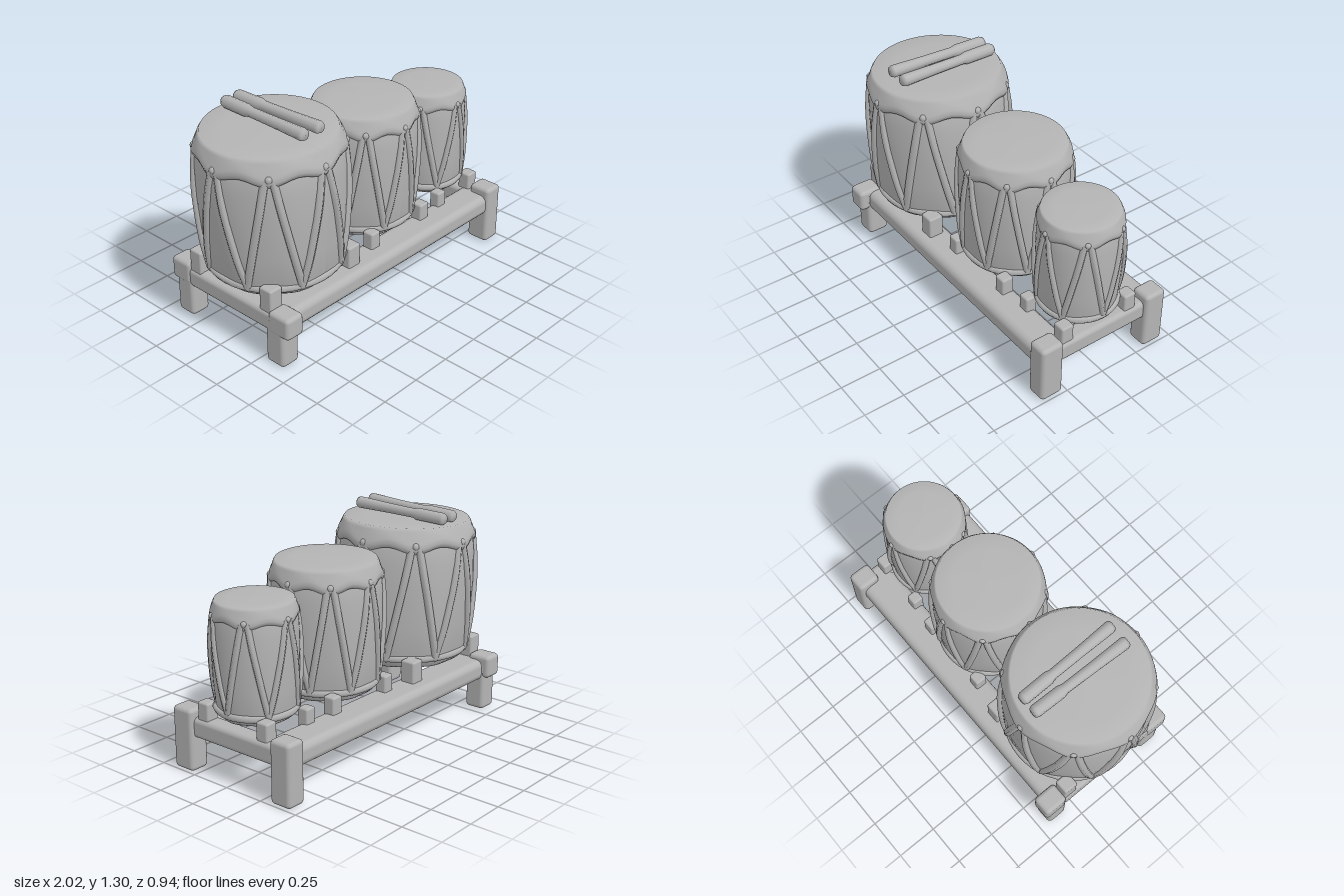
import * as THREE from 'three';
import { RoundedBoxGeometry } from 'three/addons/geometries/RoundedBoxGeometry.js';

const clay = new THREE.MeshStandardMaterial({ color: 0xb4b4b4 });
clay.name = 'grey clay';

function add(parent, name, geometry, x = 0, y = 0, z = 0) {
  const mesh = new THREE.Mesh(geometry, clay);
  mesh.name = name;
  mesh.position.set(x, y, z);
  parent.add(mesh);
  return mesh;
}

// Soft-edged block given by its limits
function block(parent, name, x0, x1, y0, y1, z0, z1, soft = 0.025) {
  const geo = new RoundedBoxGeometry(x1 - x0, y1 - y0, z1 - z0, 2, soft);
  return add(parent, name, geo, (x0 + x1) / 2, (y0 + y1) / 2, (z0 + z1) / 2);
}

// Side of the shell: [radius, height] as fractions of the drum's size
const SHELL = [[0.85, 0.02], [0.92, 0.1], [0.96, 0.3], [0.985, 0.55], [0.975, 0.75], [0.95, 0.86], [0.9, 0.94]];

function shellRadius(t) {
  const i = SHELL.findIndex(([, height]) => t <= height);
  const [r0, t0] = SHELL[i - 1], [r1, t1] = SHELL[i];
  return r0 + (r1 - r0) * (t - t0) / (t1 - t0);
}

function makeDrum(name, x, z, radius, bottom, top, laces, tilt = 0) {
  const drum = new THREE.Group();
  drum.name = name;
  drum.position.set(x, bottom, z);
  drum.rotation.z = tilt;
  const h = top - bottom, step = Math.PI * 2 / laces;
  const lathe = (pts) => new THREE.LatheGeometry(
    pts.map(([r, t]) => new THREE.Vector2(r * radius, t * h)), laces * 8);
  const at = (a, r, t) => new THREE.Vector3(Math.sin(a) * r * radius, t * h, Math.cos(a) * r * radius);

  // Shell, drawn in a little between the laces near the top and bottom
  const shell = lathe([[0, 0], [0.8, 0], ...SHELL]);
  const s = shell.attributes.position;
  for (let i = 0; i < s.count; i++) {
    const t = s.getY(i) / h;
    const wave = Math.cos(Math.atan2(s.getX(i), s.getZ(i)) * laces);
    const k = 1 + 0.018 * wave * (t * 2 - 1);
    s.setXYZ(i, s.getX(i) * k, s.getY(i), s.getZ(i) * k);
  }
  shell.computeVertexNormals();
  add(drum, 'shell', shell);

  // Skin folded over the rim, drawn out and down at every lace
  const skin = lathe([[0.92, 0.85], [0.97, 0.85], [0.99, 0.88], [0.975, 0.91],
    [0.945, 0.94], [0.915, 0.975], [0.885, 0.998], [0.6, 1.003], [0, 1.008]]);
  const p = skin.attributes.position;
  for (let i = 0; i < p.count; i++) {
    const t = p.getY(i) / h;
    if (t > 0.95) continue;
    const wave = Math.cos(Math.atan2(p.getX(i), p.getZ(i)) * laces);
    const k = 1 + 0.012 * wave;
    p.setXYZ(i, p.getX(i) * k, (t - 0.02 * wave) * h, p.getZ(i) * k);
  }
  skin.computeVertexNormals();
  add(drum, 'skin', skin);

  // Lower lacing ring
  const ring = add(drum, 'lowerRing', new THREE.TorusGeometry(radius * 0.9, 0.022, 6, laces * 6), 0, h * 0.075, 0);
  ring.rotation.x = Math.PI / 2;

  // Zigzag laces and their knots
  for (let i = 0; i < laces; i++) {
    const a = i * step;
    for (const side of [-1, 1]) {
      const path = [0.88, 0.66, 0.45, 0.25, 0.08].map((t, j) =>
        at(a + side * step * (0.06 + 0.44 * j / 4), shellRadius(t) + 0.004, t));
      add(drum, 'lace', new THREE.TubeGeometry(new THREE.CatmullRomCurve3(path), 12, 0.012 + radius * 0.03, 6));
    }
    const knot = new THREE.SphereGeometry(0.012 + radius * 0.03, 8, 6);
    add(drum, 'upperKnot', knot).position.copy(at(a, 0.955, 0.88));
    add(drum, 'lowerKnot', knot).position.copy(at(a + step / 2, 0.9, 0.075));
  }
  return drum;
}

export function createModel() {
  const model = new THREE.Group();
  model.name = 'drumSet';

  model.add(makeDrum('largeDrum', -0.562, 0.012, 0.422, 0.36, 1.215, 8, 0.03));
  model.add(makeDrum('mediumDrum', 0.17, 0, 0.327, 0.35, 1.115, 8));
  model.add(makeDrum('smallDrum', 0.75, 0, 0.243, 0.36, 1.02, 6));

  // Stand: two long rails and two cross rails
  const stand = new THREE.Group();
  stand.name = 'stand';
  model.add(stand);
  block(stand, 'frontRail', -0.86, 0.92, 0.19, 0.32, 0.195, 0.405, 0.045);
  block(stand, 'backRail', -0.86, 0.92, 0.19, 0.32, -0.425, -0.2, 0.045);
  block(stand, 'rightCrossRail', -0.92, -0.8, 0.2, 0.32, -0.34, 0.34, 0.03);
  block(stand, 'leftCrossRail', 0.85, 0.965, 0.2, 0.32, -0.34, 0.34, 0.03);

  // Legs, with wider joints on the right end
  block(stand, 'frontRightLeg', -0.92, -0.795, 0, 0.31, 0.285, 0.42);
  block(stand, 'frontRightJoint', -0.925, -0.8, 0.2, 0.335, 0.31, 0.465);
  block(stand, 'backRightLeg', -0.92, -0.795, 0, 0.31, -0.44, -0.31);
  block(stand, 'backRightJoint', -0.925, -0.8, 0.21, 0.35, -0.47, -0.32);
  block(stand, 'frontLeftLeg', 0.865, 0.99, 0, 0.37, 0.275, 0.42);
  block(stand, 'backLeftLeg', 0.865, 0.99, 0, 0.37, -0.45, -0.31);

  // Pegs that keep the drums in place: x, z, half width, top
  const pegs = [[-0.865, 0.28, 0.045, 0.45], [-0.26, 0.29, 0.047, 0.45], [-0.035, 0.26, 0.037, 0.42],
    [0.41, 0.25, 0.038, 0.42], [0.605, 0.23, 0.035, 0.41], [0.91, 0.22, 0.04, 0.42]];
  for (const [x, z, w, top] of pegs) {
    for (const side of [-1, 1]) {
      block(stand, 'peg', x - w, x + w, 0.25, top, side * z - w, side * z + w, 0.012);
    }
  }

  // Pair of drumsticks with thicker grips, lying on the large drum
  for (const [x, lean] of [[-0.605, -0.03], [-0.5, 0.01]]) {
    const stick = new THREE.Group();
    stick.name = 'drumstick';
    const profile = [[0, -0.32], [0.028, -0.318], [0.037, -0.3], [0.037, -0.13], [0.029, -0.1],
      [0.031, 0.1], [0.036, 0.3], [0.03, 0.318], [0, 0.32]];
    const body = add(stick, 'stickBody', new THREE.LatheGeometry(
      profile.map(([r, y]) => new THREE.Vector2(r, y)), 10));
    body.rotation.x = Math.PI / 2;
    stick.position.set(x, 1.26, -0.01);
    stick.rotation.set(-0.02, lean, 0);
    model.add(stick);
  }
  return model;
}
